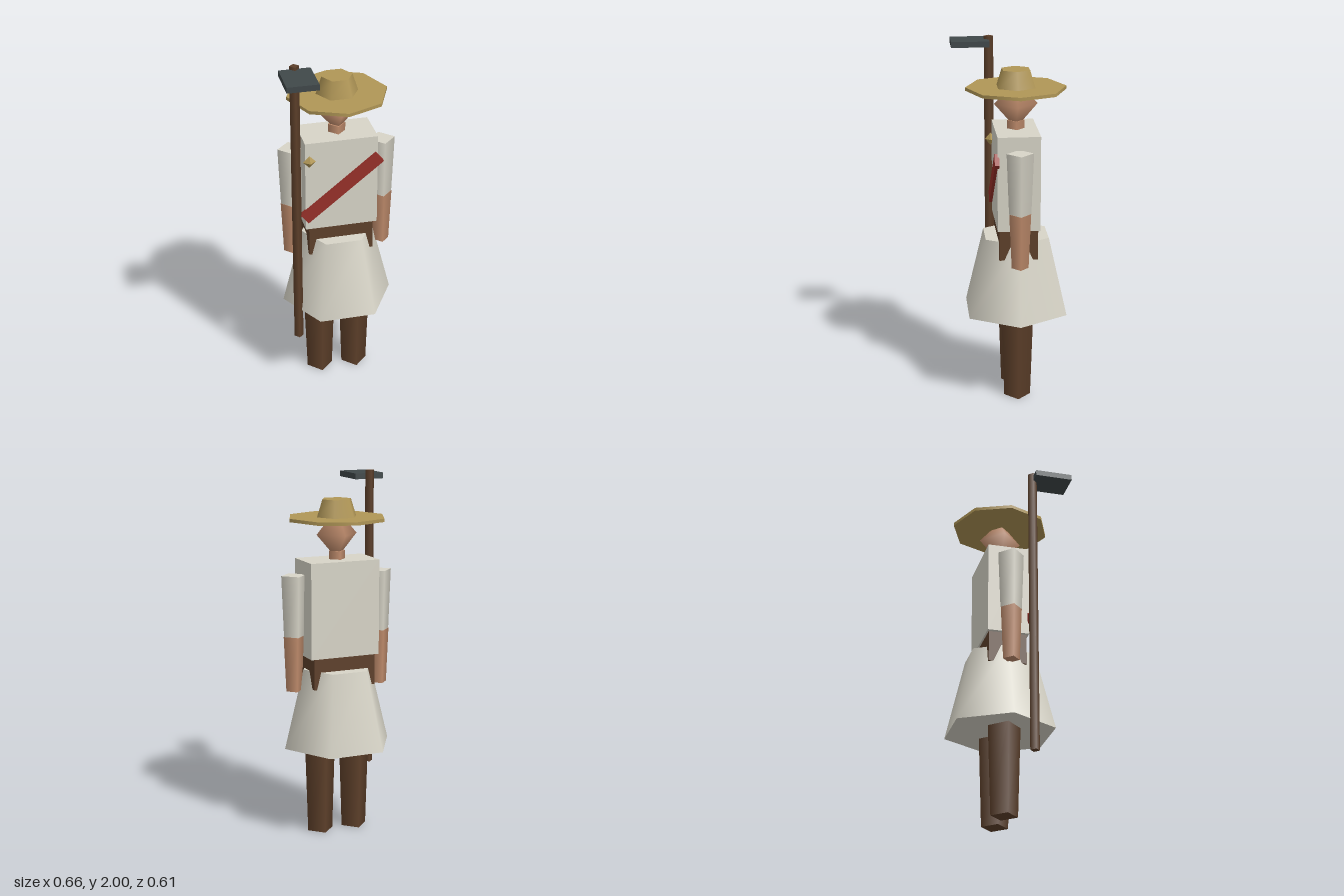
import * as THREE from 'three';

const mat = (name, color) => new THREE.MeshStandardMaterial({ name, color });

export function createModel() {
  const cloth = mat('cloth', 0xd8d5c8);
  const skin = mat('skin', 0xc08c6c);
  const brown = mat('brown', 0x5e402a);
  const straw = mat('straw', 0xb09656);
  const red = mat('red', 0x983029);
  const iron = mat('iron', 0x40484a);

  const model = new THREE.Group();
  model.name = 'fieldWorker';
  const body = new THREE.Group();
  body.name = 'body';
  body.position.set(0.003, 0, -0.033);
  model.add(body);

  const add = (parent, name, geometry, material, x, y, z) => {
    const mesh = new THREE.Mesh(geometry, material);
    mesh.name = name;
    mesh.position.set(x, y, z);
    parent.add(mesh);
    return mesh;
  };
  // Tapered upright prism from y0 to y1, with a corner on the x axis
  const prism = (parent, name, material, sides, r0, r1, y0, y1, x = 0, z = 0) =>
    add(parent, name,
      new THREE.CylinderGeometry(r1, r0, y1 - y0, sides, 1, false, Math.PI / 2),
      material, x, (y0 + y1) / 2, z);

  // Legs and arms
  for (const [side, s] of [['left', 1], ['right', -1]]) {
    prism(body, side + 'Leg', brown, 4, 0.074, 0.091, 0, 0.53, s * 0.103);
    prism(body, side + 'Sleeve', cloth, 4, 0.06, 0.073, 1.13, 1.465, s * 0.253);
    prism(body, side + 'Forearm', skin, 4, 0.046, 0.059, 0.825, 1.13, s * 0.256);
  }

  // Clothing
  prism(body, 'skirt', cloth, 6, 0.313, 0.201, 0.497, 0.938);
  add(body, 'belt', new THREE.BoxGeometry(0.36, 0.19, 0.212), brown, 0, 0.937, 0);
  add(body, 'torso', new THREE.BoxGeometry(0.4, 0.525, 0.232), cloth, 0, 1.277, 0);
  const sash = add(body, 'sash', new THREE.BoxGeometry(0.535, 0.069, 0.025), red, 0, 1.255, 0.12);
  sash.rotation.z = 0.673;
  const badge = add(body, 'badge', new THREE.OctahedronGeometry(0.035), straw, -0.178, 1.436, 0.125);
  badge.scale.z = 0.85;

  // Neck and head
  prism(body, 'neck', skin, 4, 0.048, 0.048, 1.52, 1.585);
  const head = add(body, 'head', new THREE.SphereGeometry(0.118, 4, 2), skin, 0.002, 1.676, 0);
  head.scale.y = 1.15;

  // Straw hat
  prism(body, 'hatBrim', straw, 8, 0.273, 0.273, 1.752, 1.77, 0.002);
  prism(body, 'hatCrown', straw, 6, 0.116, 0.084, 1.768, 1.865, 0.002);

  // Long-handled hoe
  prism(model, 'hoeHandle', brown, 4, 0.026, 0.026, 0.322, 2, -0.249, 0.094);
  add(model, 'hoeBlade', new THREE.BoxGeometry(0.168, 0.032, 0.21), iron, -0.248, 1.967, 0.199);

  return model;
}
